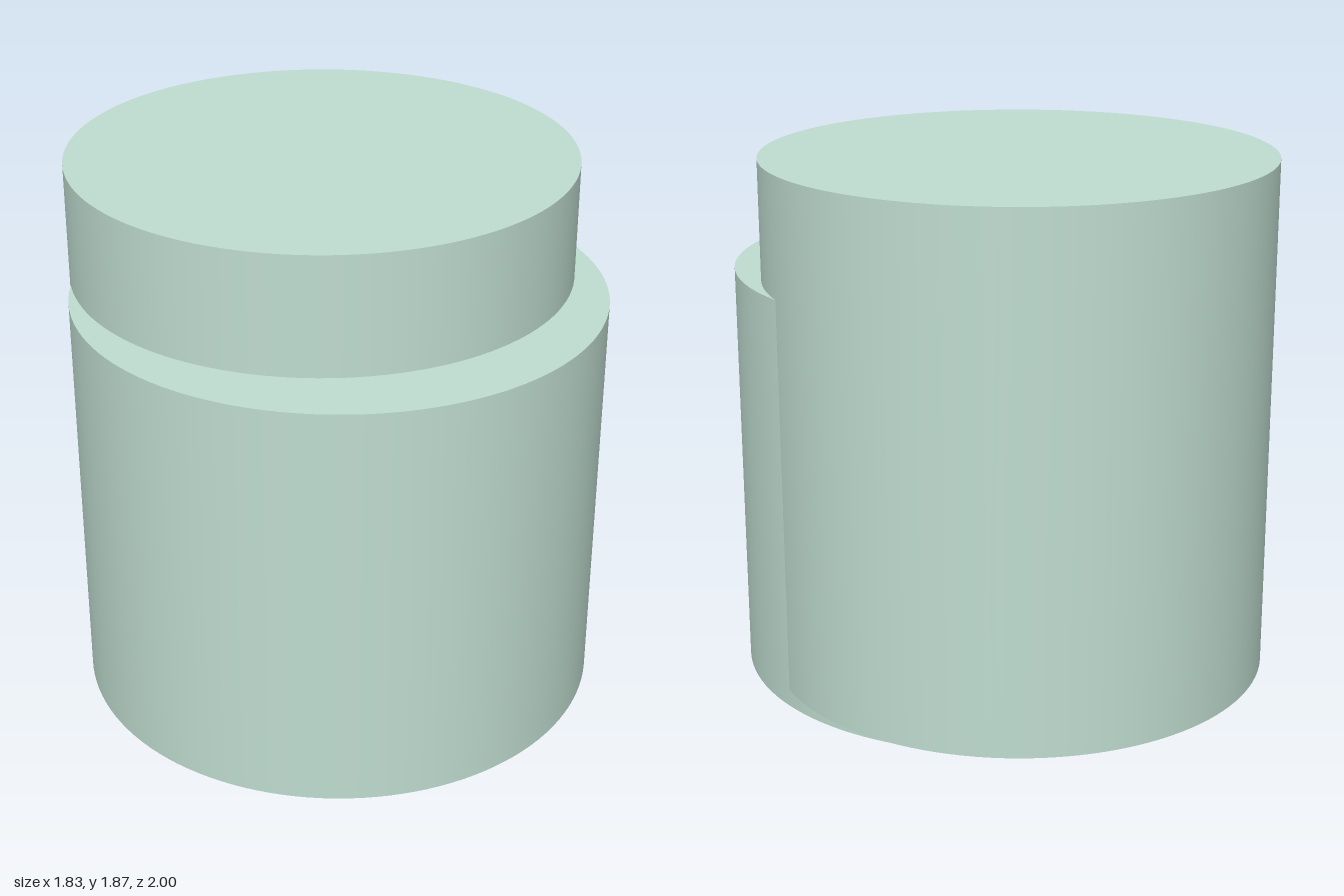
import * as THREE from 'three';
import { toCreasedNormals } from 'three/addons/utils/BufferGeometryUtils.js';

// Keyhole-like recess: a hub, a straight slot towards +x and a small round end at the back
function recessPath() {
  const hub = 0.225, tip = 0.155, slot = 0.17, neck = 0.075;
  const hubV = 0.085, tipV = 0.45, H = Math.PI / 2;
  const a = Math.asin(slot / hub), b = Math.asin(neck / hub), c = Math.asin(neck / tip);
  const p = new THREE.Path();
  p.moveTo(0.595, hubV - slot);
  p.lineTo(0.595, hubV + slot);
  p.absarc(0, hubV, hub, a, H - b, false);
  p.absarc(0, tipV, tip, c - H, 3 * H - c, false);
  p.absarc(0, hubV, hub, H + b, 2 * Math.PI - a, false);
  p.closePath();
  return p;
}

export function createModel() {
  const group = new THREE.Group();
  const material = new THREE.MeshStandardMaterial({ color: 0xbfdcd0 });

  const add = (name, geometry, y, z) => {
    const mesh = new THREE.Mesh(geometry, material);
    mesh.name = name;
    mesh.position.set(0, y, z);
    group.add(mesh);
  };

  // Solid round body between two heights
  const drum = (name, r, z, y0, y1) =>
    add(name, new THREE.CylinderGeometry(r, r, y1 - y0, 128), (y0 + y1) / 2, z);

  // Thin round plate pierced by the recess
  const plate = (name, r, z, y0, y1) => {
    const shape = new THREE.Shape().absarc(0, -z, r, 0, Math.PI * 2, false);
    shape.holes.push(recessPath());
    const geometry = new THREE.ExtrudeGeometry(shape, { depth: y1 - y0, bevelEnabled: false, curveSegments: 64 });
    geometry.rotateX(-Math.PI / 2);
    add(name, toCreasedNormals(geometry, 0.5), y0, 0);
  };

  // Wide front body, with the recess cut into its underside
  plate('frontBodyBase', 0.915, 0.085, 0, 0.08);
  drum('frontBody', 0.915, 0.085, 0.08, 1.455);

  // Taller rear body, set back and raised slightly off the ground
  plate('rearBodyBase', 0.876, -0.124, 0.062, 0.085);
  drum('rearBody', 0.876, -0.124, 0.085, 1.87);

  return group;
}
